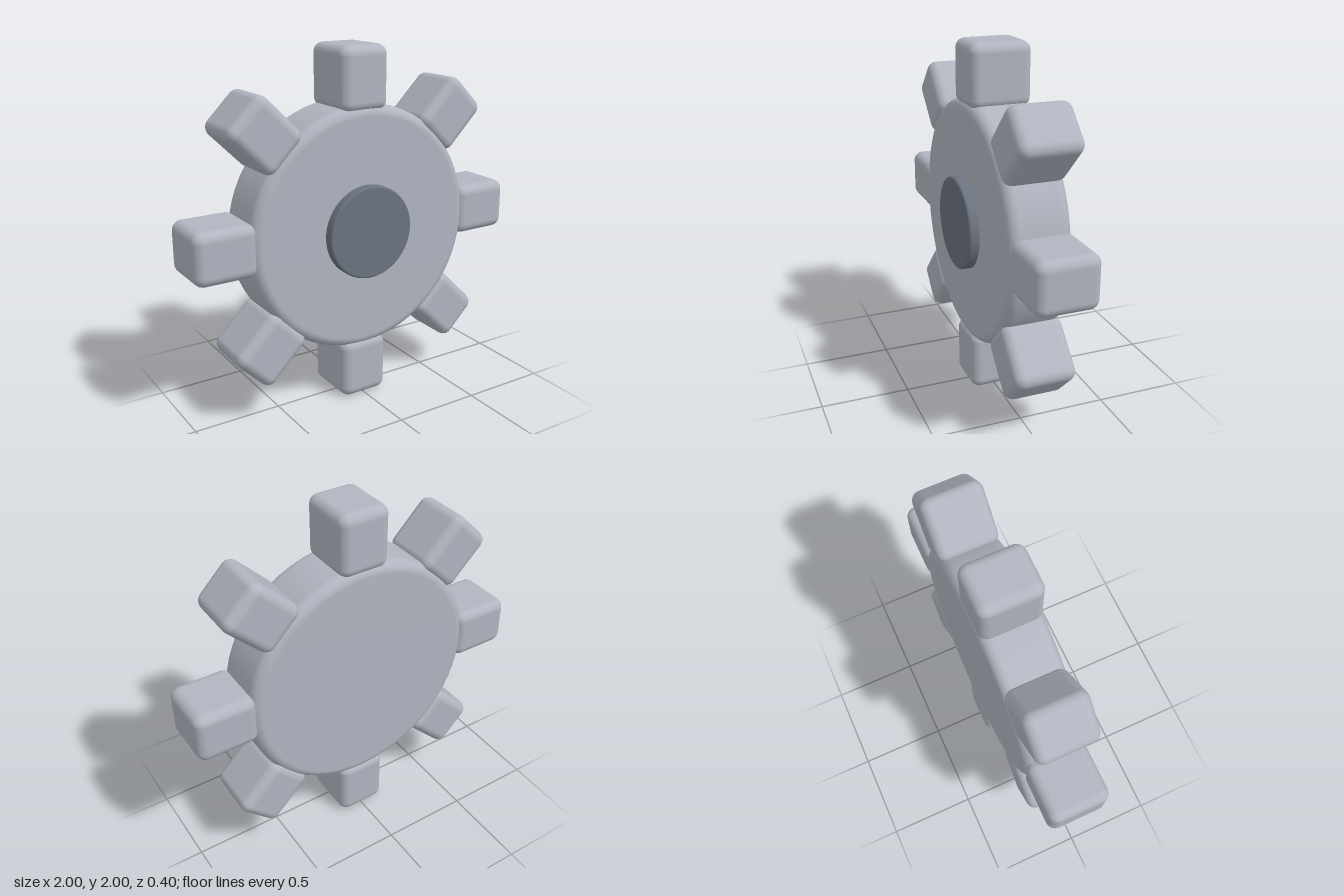
import * as THREE from 'three';
import { RoundedBoxGeometry } from 'three/addons/geometries/RoundedBoxGeometry.js';

const BACK = -0.2, FRONT = 0.145, AXLE_Y = 1, TEETH = 8;

// Solid disc facing +z, with quarter-round rims
function roundedDisc(radius, z0, z1, bevel, steps) {
  const points = [new THREE.Vector2(0, z0)];
  for (const [zc, start] of [[z0 + bevel, -Math.PI / 2], [z1 - bevel, 0]]) {
    for (let i = 0; i <= steps; i++) {
      const a = start + (i / steps) * Math.PI / 2;
      points.push(new THREE.Vector2(radius - bevel + Math.cos(a) * bevel, zc + Math.sin(a) * bevel));
    }
  }
  points.push(new THREE.Vector2(0, z1));
  return new THREE.LatheGeometry(points, 64).rotateX(Math.PI / 2);
}

export function createModel() {
  const model = new THREE.Group();
  model.name = 'gear';
  const lightSteel = new THREE.MeshStandardMaterial({ name: 'light steel', color: 0xb0b5c0 });
  const darkSteel = new THREE.MeshStandardMaterial({ name: 'dark steel', color: 0x6b7380 });

  function add(name, geometry, material) {
    const mesh = new THREE.Mesh(geometry, material);
    mesh.name = name;
    mesh.position.y = AXLE_Y;
    model.add(mesh);
    return mesh;
  }

  // Wheel body and raised hub cap
  add('wheelBody', roundedDisc(0.69, BACK, FRONT, 0.06, 6), lightSteel);
  add('hubCap', roundedDisc(0.26, FRONT - 0.03, 0.2, 0.012, 3), darkSteel);

  // Ring of rounded block teeth
  const tooth = new RoundedBoxGeometry(0.29, 0.35, FRONT - BACK, 5, 0.055);
  tooth.translate(0, 0.825, (FRONT + BACK) / 2);
  for (let i = 0; i < TEETH; i++) {
    add('tooth' + (i + 1), tooth, lightSteel).rotation.z = (i / TEETH) * Math.PI * 2;
  }
  return model;
}
